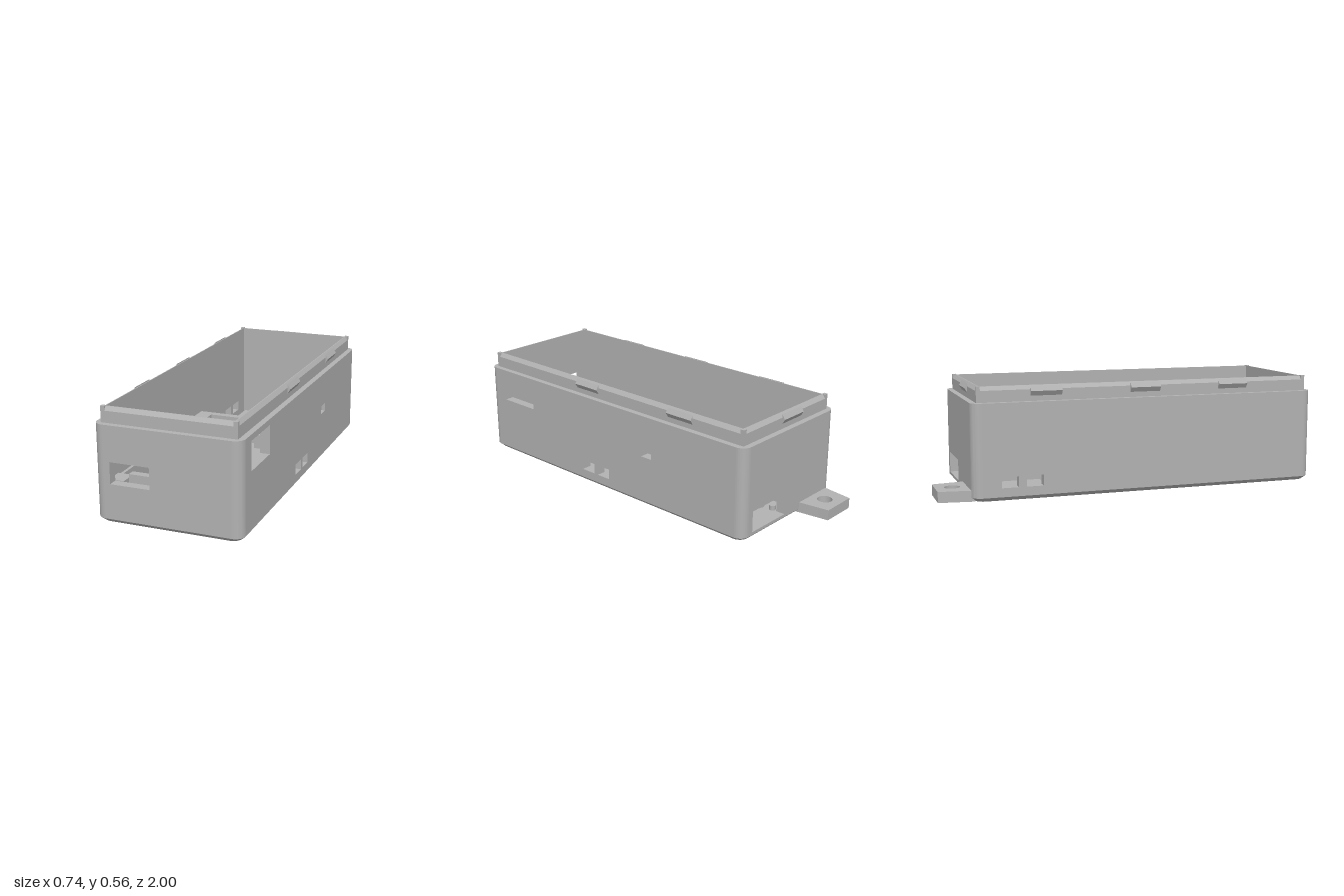
import * as THREE from 'three';
import { toCreasedNormals } from 'three/addons/utils/BufferGeometryUtils.js';

const plastic = new THREE.MeshStandardMaterial({ color: 0xb2b2b2 });
plastic.name = 'grey plastic';

// Inner cavity, wall thickness and heights
const X = 0.32, BACK = -0.79, FRONT = 0.95, T = 0.05, H = 0.485, FLOOR = 0.02;

const rect = (a, c, b, d, P = THREE.Shape) =>
  new P([[a, c], [b, c], [b, d], [a, d]].map(p => new THREE.Vector2(...p)));

function roundedRect(x0, z0, x1, z1, r) {
  const s = new THREE.Shape();
  s.absarc(x1 - r, z1 - r, r, 0, Math.PI / 2);
  s.absarc(x0 + r, z1 - r, r, Math.PI / 2, Math.PI);
  s.absarc(x0 + r, z0 + r, r, Math.PI, Math.PI * 1.5);
  s.absarc(x1 - r, z0 + r, r, Math.PI * 1.5, Math.PI * 2);
  return s;
}

const extrude = (shape, depth) =>
  new THREE.ExtrudeGeometry(shape, { depth, bevelEnabled: false, curveSegments: 12 });

// Plan shape (x, z) raised from y0 to y1
const rise = (shape, y0, y1) => extrude(shape, y1 - y0).rotateX(Math.PI / 2).translate(0, y1, 0);

function moveVertices(geo, rule) {
  const p = geo.attributes.position;
  const v = new THREE.Vector3();
  for (let i = 0; i < p.count; i++) {
    rule(v.fromBufferAttribute(p, i));
    p.setXYZ(i, v.x, v.y, v.z);
  }
  geo.computeVertexNormals();
  return geo;
}

export function createModel() {
  const model = new THREE.Group();
  model.name = 'enclosure';
  const add = (name, geo) => {
    const m = new THREE.Mesh(geo, plastic);
    m.name = name;
    model.add(m);
    return m;
  };
  const box = (name, x0, x1, y0, y1, z0, z1) =>
    add(name, new THREE.BoxGeometry(x1 - x0, y1 - y0, z1 - z0)
      .translate((x0 + x1) / 2, (y0 + y1) / 2, (z0 + z1) / 2));

  // Floor with chamfered underside and two slots
  const plan = roundedRect(-X - T, BACK - T, X + T, FRONT + T, T);
  plan.holes.push(rect(-0.185, -0.38, -0.13, -0.31, THREE.Path));
  plan.holes.push(rect(-0.185, -0.19, -0.13, -0.13, THREE.Path));
  add('floor', toCreasedNormals(moveVertices(rise(plan, 0, FLOOR), v => {
    if (v.y > 0.001) return;
    v.x *= 0.35 / 0.37;
    v.z = 0.08 + (v.z - 0.08) * 0.9 / 0.92;
  }), 0.5));

  // Walls with window openings [start, bottom, end, top]
  const wallShape = (a, b, openings) => {
    const s = rect(a, FLOOR, b, H);
    openings.forEach(o => s.holes.push(rect(...o, THREE.Path)));
    return s;
  };
  add('frontWall', extrude(wallShape(-X, X, [[-0.288, 0.197, -0.085, 0.306]]), T).translate(0, 0, FRONT));
  add('backWall', extrude(wallShape(-X, X, [[0.03, 0.035, 0.29, 0.145]]), T).translate(0, 0, BACK - T));
  // Side walls use -z as the horizontal shape axis
  add('leftWall', extrude(wallShape(-FRONT, -BACK, [
    [-0.88, 0.31, -0.64, 0.455], [-0.25, 0.065, -0.16, 0.12],
    [-0.135, 0.065, -0.05, 0.12], [0.185, 0.265, 0.255, 0.31],
  ]), T).rotateY(Math.PI / 2).translate(X, 0, 0));
  add('rightWall', extrude(wallShape(-FRONT, -BACK, [
    [0.485, 0.065, 0.57, 0.12], [0.61, 0.065, 0.695, 0.12],
  ]), T).rotateY(Math.PI / 2).translate(-X - T, 0, 0));

  // Rounded corner columns
  [[X, FRONT], [-X, FRONT], [-X, BACK], [X, BACK]].forEach(([x, z], i) => {
    const s = new THREE.Shape();
    s.moveTo(x, z);
    s.absarc(x, z, T, i * Math.PI / 2, (i + 1) * Math.PI / 2);
    s.lineTo(x, z);
    add('corner', toCreasedNormals(rise(s, FLOOR, H), 0.5));
  });

  // Raised lip with a bevelled rim and peaked corners
  const LX = 0.34, LB = -0.81, LF = 0.97;
  const ring = () => {
    const s = rect(-LX, LB, LX, LF);
    s.holes.push(rect(-X, BACK, X, FRONT, THREE.Path));
    return s;
  };
  add('lip', rise(ring(), H, 0.543));
  add('lipBevel', moveVertices(rise(ring(), 0.543, 0.563), v => {
    if (v.y < 0.56) return;
    if (Math.abs(v.x) > 0.33) v.x = Math.sign(v.x) * 0.325;
    if (v.z > 0.96) v.z = FRONT + 0.005;
    if (v.z < -0.8) v.z = BACK - 0.005;
  }));
  for (const x of [-0.33, 0.33])
    for (const z of [LB + 0.01, LF - 0.01])
      box('lipCorner', x - 0.01, x + 0.01, 0.54, 0.565, z - 0.01, z + 0.01);

  // Snap ridges: triangular section running along the lip
  const ridge = (length) => extrude(new THREE.Shape([[0, 0.511], [0.015, 0.535], [0, 0.56]]
    .map(p => new THREE.Vector2(...p))), length);
  for (const z of [-0.5, 0.145]) add('snapRidge', ridge(0.16).translate(LX, 0, z));
  for (const z of [-0.38, 0.14, 0.625])
    add('snapRidge', ridge(0.16).rotateY(Math.PI).translate(-LX, 0, z));
  add('snapRidge', ridge(0.155).rotateY(Math.PI / 2).translate(-0.113, 0, LB));

  // Mounting tab with screw hole
  const tab = new THREE.Shape([[-0.333, -0.82], [-0.33, -0.84], [-0.308, -1], [-0.118, -1], [-0.095, -0.84], [-0.092, -0.82]]
    .map(p => new THREE.Vector2(...p)));
  tab.holes.push(new THREE.Path().absarc(-0.213, -0.915, 0.039, 0, Math.PI * 2));
  add('mountingTab', toCreasedNormals(rise(tab, 0, 0.055), 0.5));

  // Board ledges and retaining ribs
  box('leftLedge', 0.305, X, FLOOR, 0.19, 0.26, FRONT);
  box('rightLedge', -X, -0.305, FLOOR, 0.19, -0.1, FRONT);
  box('frontRib', -0.24, -0.02, FLOOR, 0.22, 0.865, 0.905);
  box('middleRib', -X, -0.02, FLOOR, 0.22, -0.13, -0.09);
  box('sideRib', -0.085, -0.05, FLOOR, 0.1, -0.68, -0.26);
  box('crossRib', -0.02, 0.2, FLOOR, 0.1, -0.23, -0.18);

  // Capped corner supports: stem and overhanging cap
  for (const [x0, x1, z0, z1, top] of [
    [0.238, X, 0.855, FRONT, 0.26], [-X, -0.243, 0.86, FRONT, 0.2], [-X, -0.243, -0.105, 0.01, 0.22],
  ]) {
    box('supportCap', x0, x1, top - 0.04, top, z0, z1);
    const sx = x0 > 0 ? x1 - 0.04 : x0;
    box('supportStem', sx, sx + 0.04, FLOOR, top - 0.04, z0 + 0.02, z1 - 0.03);
  }

  // Tall button housing against the left wall
  box('buttonHousing', 0.2, X, FLOOR, 0.38, -0.36, -0.1);
  box('housingFin', 0.298, X, FLOOR, 0.22, -0.1, -0.03);

  // Raised pad and frame around the floor slots
  box('pad', -0.305, -0.082, FLOOR, 0.04, -0.775, -0.435);
  for (const x of [-0.235, -0.095]) box('slotFrameSide', x - 0.02, x + 0.02, FLOOR, 0.09, -0.39, -0.13);
  box('slotFrameBridge', -0.195, -0.13, FLOOR, 0.07, -0.28, -0.205);
  for (const z of [-0.36, -0.17]) box('slotGuide', -X, -0.29, FLOOR, 0.09, z - 0.02, z + 0.02);

  // Round standoffs
  for (const [x, z, r] of [[0.015, -0.65, 0.047], [0.27, -0.65, 0.047], [0.015, -0.275, 0.047], [0, -0.745, 0.017]])
    add('standoff', new THREE.CylinderGeometry(r, r, 0.025, 24).translate(x, FLOOR + 0.0125, z));

  return model;
}
